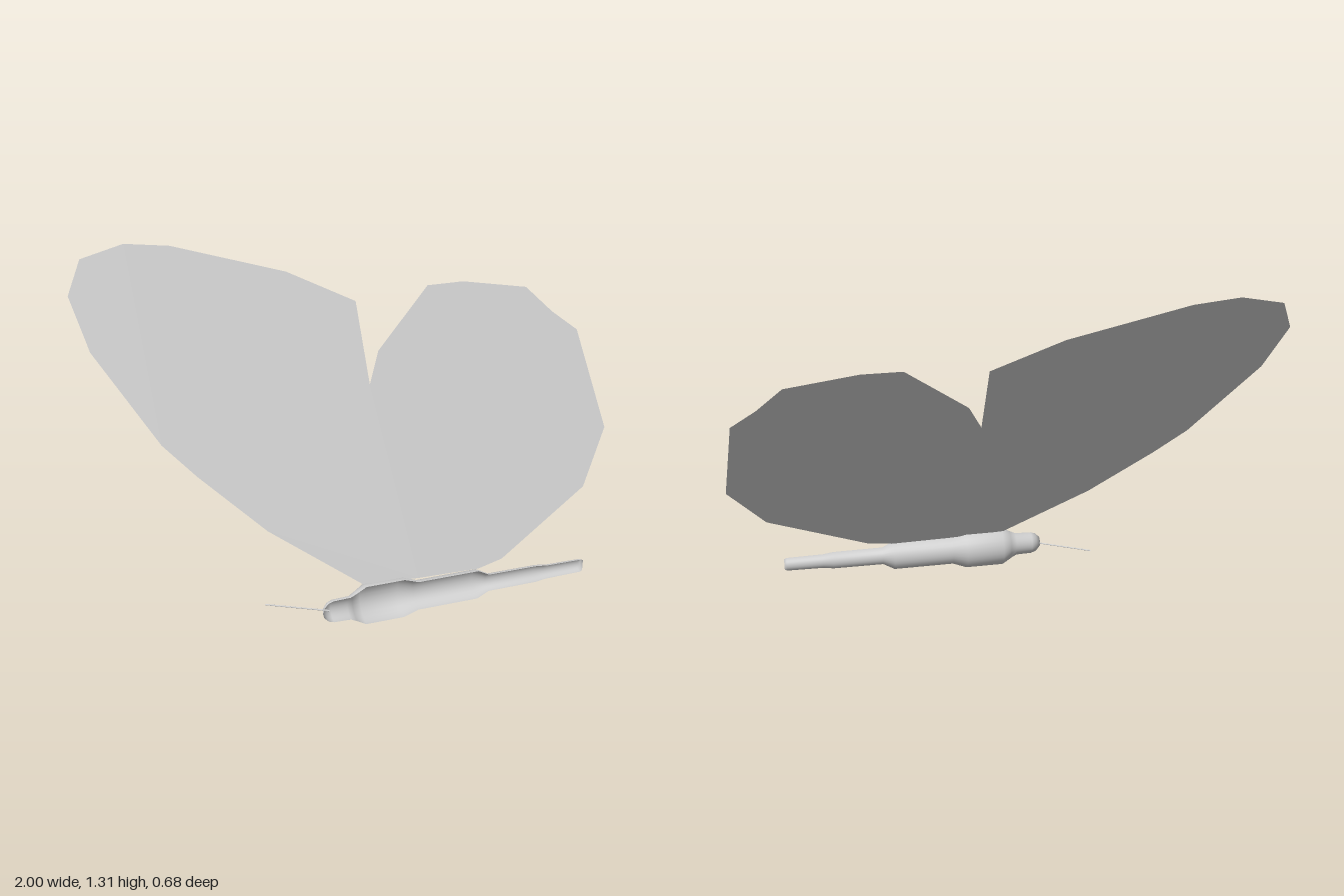
import * as THREE from 'three';

export function createModel() {
  const group = new THREE.Group();
  const paleGrey = new THREE.MeshStandardMaterial({ color: 0xd0d0d0, side: THREE.DoubleSide });
  paleGrey.name = 'paleGrey';

  const add = (name, geometry) => {
    const mesh = new THREE.Mesh(geometry, paleGrey);
    mesh.name = name;
    group.add(mesh);
    return mesh;
  };

  // Flat wing pair: one outline, laid on a plane leaning back
  const outline = [
    [-1, 1.17], [-0.945, 0.99], [-0.735, 0.68], [-0.623, 0.57], [-0.393, 0.37], [-0.067, 0.158],
    [0.15, 0.145], [0.39, 0.14], [0.49, 0.158], [0.87, 0.345], [1, 0.53], [0.945, 0.872],
    [0.85, 0.944], [0.755, 1.037], [0.495, 1.08], [0.348, 1.08], [0.115, 0.885], [0.064, 0.78],
    [0.053, 1.055], [-0.2, 1.175], [-0.62, 1.295], [-0.785, 1.315], [-0.945, 1.28],
  ].map(([x, y]) => new THREE.Vector2(x, y));
  const wing = new THREE.ShapeGeometry(new THREE.Shape(outline));
  const p = wing.attributes.position;
  for (let i = 0; i < p.count; i++) p.setZ(i, 0.3875 - 0.07 * p.getX(i) - 0.6 * p.getY(i));
  wing.computeVertexNormals();
  add('wing', wing);

  // Hollow half body, open towards the front: radius and position along the axis
  const profile = [
    [0, -0.225], [0.02, -0.222], [0.038, -0.205], [0.045, -0.185], [0.047, -0.12], [0.06, -0.095],
    [0.08, -0.06], [0.08, 0.09], [0.06, 0.145], [0.06, 0.385], [0.036, 0.43], [0.035, 0.63],
    [0.029, 0.67], [0.027, 0.815], [0.022, 0.825], [0, 0.825],
  ].map(([r, x]) => new THREE.Vector2(r, x));
  const shell = new THREE.LatheGeometry(profile, 14, Math.PI / 2, Math.PI);
  shell.rotateZ(-Math.PI / 2);
  const body = add('body', shell);
  body.position.set(0, 0.081, 0.322);
  body.rotation.y = 0.067;

  // Single straight antenna
  const path = new THREE.LineCurve3(
    new THREE.Vector3(-0.2, 0.083, 0.325), new THREE.Vector3(-0.417, 0.083, 0.225));
  add('antenna', new THREE.TubeGeometry(path, 1, 0.003, 6));

  return group;
}
